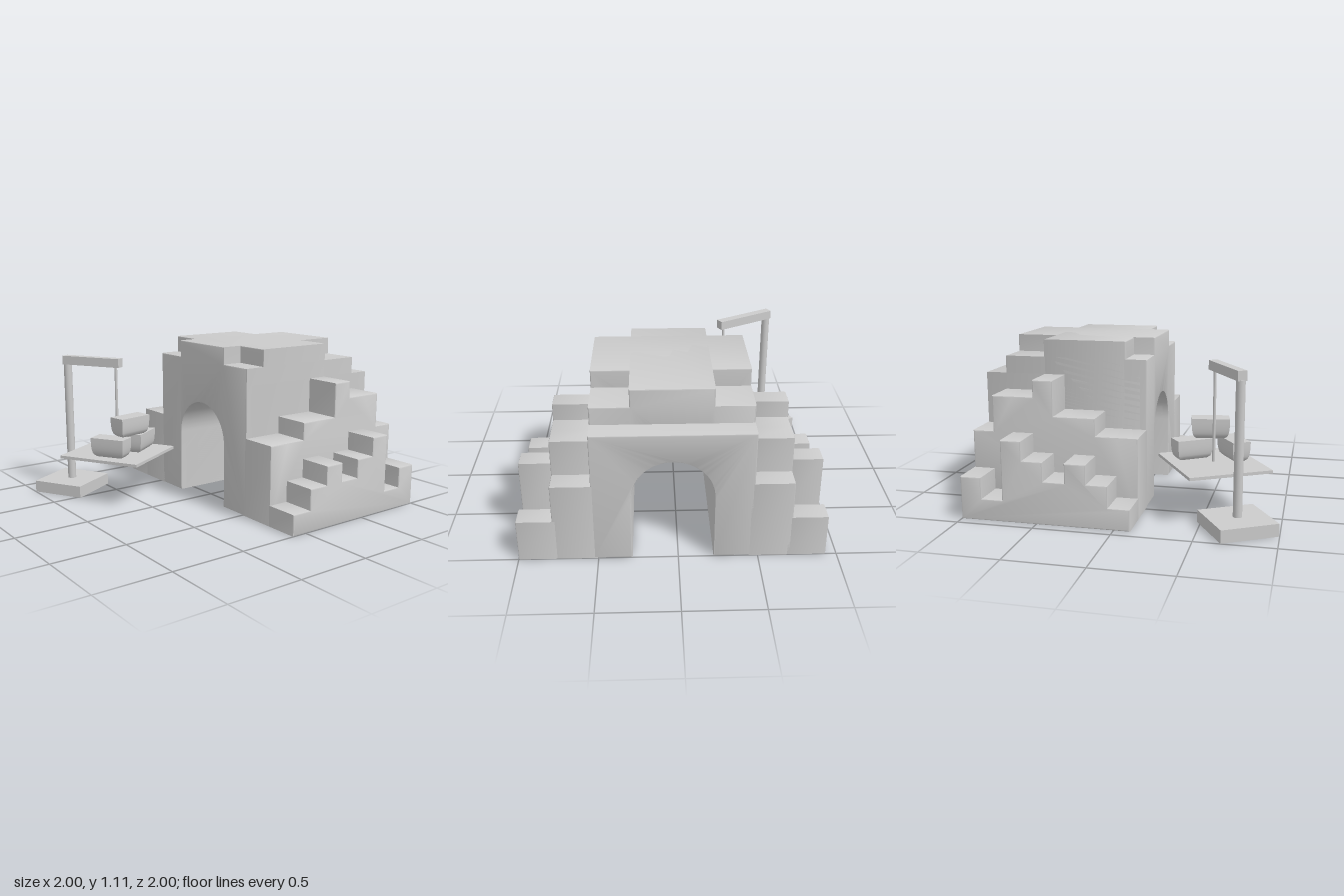
import * as THREE from 'three';
import { toCreasedNormals } from 'three/addons/utils/BufferGeometryUtils.js';

const material = new THREE.MeshStandardMaterial({ color: 0xcccccc });
const BEVEL = 0.008;

function add(parent, name, geometry, x = 0, y = 0, z = 0, yaw = 0) {
  const mesh = new THREE.Mesh(geometry, material);
  mesh.name = name;
  mesh.position.set(x, y, z);
  mesh.rotation.y = yaw;
  parent.add(mesh);
  return mesh;
}

// Extrude from z = 0 to z = depth with slightly worn end edges
function slab(shape, depth) {
  const geometry = new THREE.ExtrudeGeometry(shape, {
    depth: depth - 2 * BEVEL, bevelThickness: BEVEL, bevelSize: BEVEL,
    bevelOffset: -BEVEL, bevelSegments: 2, curveSegments: 20,
  });
  geometry.translate(0, 0, BEVEL);
  return toCreasedNormals(geometry, 0.5);
}

// Arch section: shoulders at sideTop, middle at midTop, tunnel cut from below
function archShape(sideTop, midTop) {
  const [x0, x1, x2, x3] = [-0.465, -0.222, 0.287, 0.53];
  const s = new THREE.Shape();
  s.moveTo(x2, 0);
  s.lineTo(x3, 0);
  s.lineTo(x3, sideTop);
  if (midTop > sideTop) {
    s.lineTo(x2, sideTop);
    s.lineTo(x2, midTop);
    s.lineTo(x1, midTop);
    s.lineTo(x1, sideTop);
  }
  s.lineTo(x0, sideTop);
  s.lineTo(x0, 0);
  s.lineTo(x1, 0);
  s.lineTo(x1, 0.436);
  s.absarc((x1 + x2) / 2, 0.436, (x2 - x1) / 2, Math.PI, 0, true);
  s.lineTo(x2, 0);
  return s;
}

// Stepped flank profile: one height per row, from front to back
function stepShape(heights) {
  const rows = [0.105, -0.035, -0.172, -0.311, -0.449, -0.586, -0.723, -0.86, -1];
  const s = new THREE.Shape();
  s.moveTo(rows[0], 0);
  heights.forEach((h, i) => {
    s.lineTo(rows[i], h);
    s.lineTo(rows[i + 1], h);
  });
  s.lineTo(rows[8], 0);
  return s;
}

function flank(parent, name, heights, xMin, xMax) {
  const geometry = slab(stepShape(heights), xMax - xMin);
  geometry.rotateY(-Math.PI / 2);
  add(parent, name, geometry, xMax);
}

// Sack: flat top, underside rounded inward
function sackGeometry(length, height, width) {
  const geometry = new THREE.BoxGeometry(length, height, width, 8, 8, 6);
  const p = geometry.attributes.position;
  for (let i = 0; i < p.count; i++) {
    const down = 0.5 - p.getY(i) / height;
    const round = Math.sqrt(Math.max(0, 1 - down ** 3));
    p.setX(i, p.getX(i) * (0.75 + 0.25 * round));
    p.setZ(i, p.getZ(i) * (0.5 + 0.5 * round));
  }
  geometry.computeVertexNormals();
  return geometry;
}

export function createModel() {
  const model = new THREE.Group();
  model.name = 'rockArchWithCrane';

  // Rock arch: overlapping sections from low back ledge to full-height crown
  const rock = new THREE.Group();
  rock.name = 'rockArch';
  model.add(rock);
  [
    ['archLedge', 0.875, 0.875, -1, 0.07],
    ['archShoulders', 0.99, 1.105, -0.86, 0.105],
    ['archCrown', 1.105, 1.105, -0.59, -0.035],
  ].forEach(([name, side, mid, z0, z1]) =>
    add(rock, name, slab(archShape(side, mid), z1 - z0), 0, 0, z0));

  // Stepped flanks on both sides
  const inner = [0.53, 0.53, 0.645, 0.645, 0.875, 0.765, 0.765, 0.53];
  const outer = [0.14, 0.28, 0.405, 0.28, 0.405, 0.53, 0.14, 0.28];
  flank(rock, 'innerStepsLeft', inner, 0.5, 0.777);
  flank(rock, 'outerStepsLeft', outer, 0.75, 1);
  flank(rock, 'innerStepsRight', inner, -0.71, -0.44);
  flank(rock, 'outerStepsRight', outer, -0.932, -0.68);

  // Crane, turned 30 degrees; local x runs along its arm
  const crane = new THREE.Group();
  crane.name = 'crane';
  crane.position.set(-0.738, 0, 0.737);
  crane.rotation.y = Math.PI / 6;
  model.add(crane);
  add(crane, 'base', new THREE.BoxGeometry(0.38, 0.082, 0.38), 0, 0.041, 0);
  add(crane, 'post', new THREE.CylinderGeometry(0.029, 0.029, 0.86, 20), 0, 0.505, 0);
  add(crane, 'arm', new THREE.BoxGeometry(0.46, 0.062, 0.06), 0.206, 0.96, 0);
  add(crane, 'rope', new THREE.CylinderGeometry(0.01, 0.01, 0.61, 10), 0.398, 0.63, 0);
  add(crane, 'platform', new THREE.BoxGeometry(0.607, 0.02, 0.56), 0.4, 0.315, 0);

  // Stacked sacks on the platform
  const sacks = new THREE.Group();
  sacks.name = 'sacks';
  model.add(sacks);
  [
    ['lowerSackBack', -0.338, 0.393, 0.385, -0.97],
    ['lowerSackFront', -0.28, 0.393, 0.655, 0.55],
    ['upperSack', -0.28, 0.527, 0.498, -1.39],
  ].forEach(([name, x, y, z, yaw]) =>
    add(sacks, name, sackGeometry(0.25, 0.135, 0.125), x, y, z, yaw));

  return model;
}
